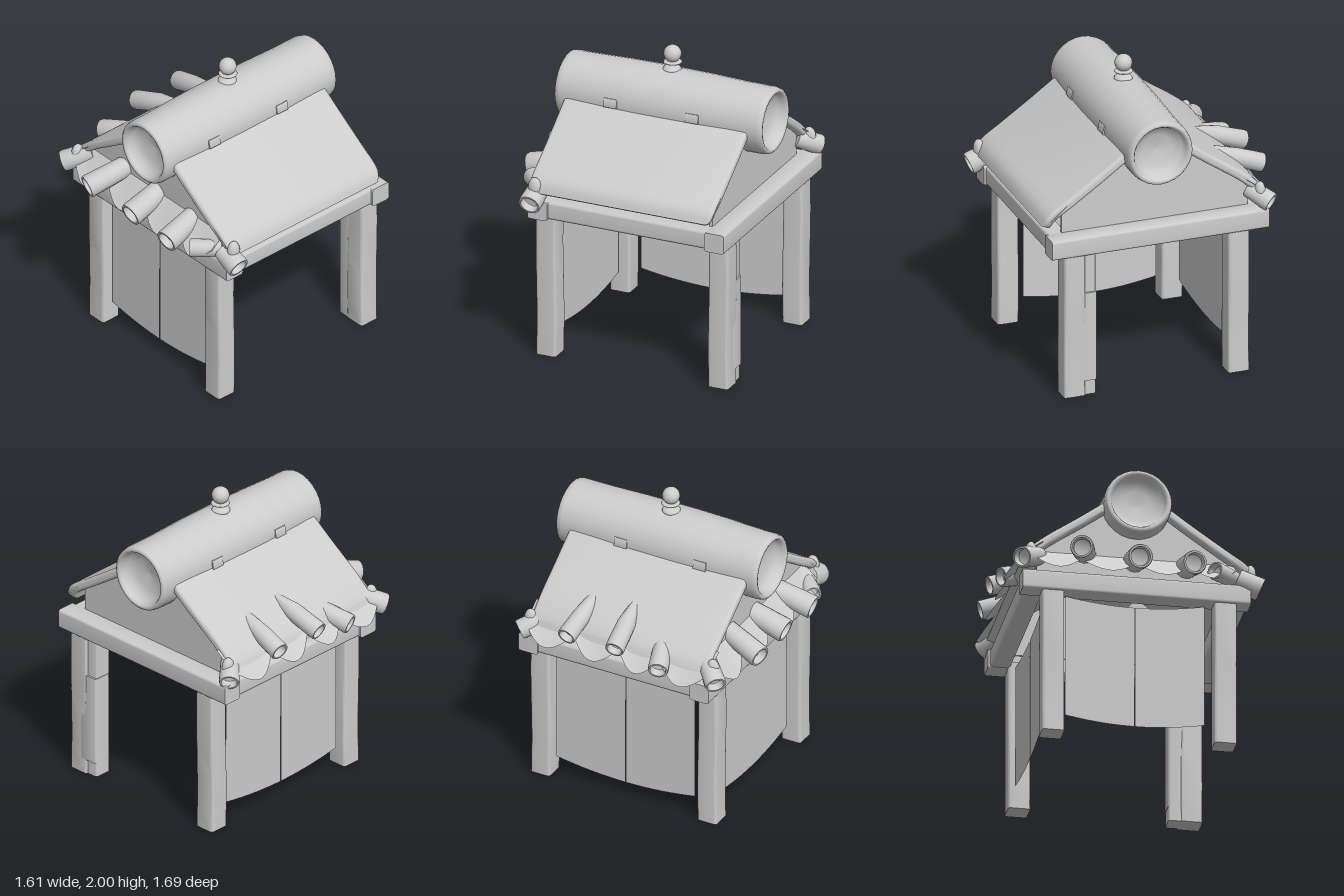
import * as THREE from 'three';
import { toCreasedNormals } from 'three/addons/utils/BufferGeometryUtils.js';

const stone = new THREE.MeshStandardMaterial({ color: 0xcccccc, side: THREE.DoubleSide });
stone.name = 'pale grey';

const V2 = (x, y) => new THREE.Vector2(x, y);
const V3 = (x, y, z) => new THREE.Vector3(x, y, z);

export function createModel() {
  const model = new THREE.Group();
  model.name = 'woodenShelter';

  const add = (name, geo, x = 0, y = 0, z = 0) => {
    const m = new THREE.Mesh(geo, stone);
    m.name = name;
    m.position.set(x, y, z);
    model.add(m);
    return m;
  };

  // Softened square bar running along +z, with an optional gentle sway
  function bar(w, h, length, sway = 0) {
    const s = new THREE.Shape(), a = w / 2, b = h / 2, r = Math.min(w, h) * 0.14;
    s.moveTo(-a + r, -b);
    s.lineTo(a - r, -b); s.quadraticCurveTo(a, -b, a, -b + r);
    s.lineTo(a, b - r); s.quadraticCurveTo(a, b, a - r, b);
    s.lineTo(-a + r, b); s.quadraticCurveTo(-a, b, -a, b - r);
    s.lineTo(-a, -b + r); s.quadraticCurveTo(-a, -b, -a + r, -b);
    const g = new THREE.ExtrudeGeometry(s, { depth: length, steps: 8, bevelEnabled: false, curveSegments: 4 });
    const p = g.attributes.position;
    for (let i = 0; i < p.count; i++) {
      const k = Math.sin((p.getZ(i) / length) * Math.PI * 2);
      p.setXY(i, p.getX(i) + sway * k, p.getY(i) * (1 + sway * k));
    }
    return toCreasedNormals(g, 0.9);
  }
  const upright = (...args) => bar(...args).rotateX(-Math.PI / 2);

  // Posts, with a doubled brace beside the front right one
  for (const x of [-0.51, 0.695]) for (const z of [-0.53, 0.58]) {
    add('cornerPost', upright(0.138, 0.142, 1.02, x < 0 ? 0.004 : -0.004), x, 0, z);
  }
  add('bracePost', upright(0.12, 0.135, 1.02), 0.69, 0, 0.5);
  add('braceSleeve', upright(0.13, 0.14, 0.61), 0.697, 0.1, 0.5);

  // Beams
  for (const x of [-0.525, 0.71]) add('sideBeam', bar(0.138, 0.13, 1.47), x, 1.04, -0.73);
  for (const z of [-0.65, 0.66]) add('crossBeam', bar(0.13, 0.12, 1.2).rotateY(Math.PI / 2), -0.5, 1.043, z);

  // Hanging cloths, each sewn from two sagging halves
  function clothHalf(width, side) {
    const g = new THREE.PlaneGeometry(width / 2 - 0.002, 0.83, 12, 6).translate((side * width) / 4 + side * 0.001, 0, 0);
    const p = g.attributes.position;
    for (let i = 0; i < p.count; i++) {
      const u = (2 * p.getX(i)) / width;
      p.setY(i, p.getY(i) - 0.045 * (1 - u * u));
    }
    return g;
  }
  for (const side of [-1, 1]) {
    add('backCloth', clothHalf(1.0, side).rotateY(Math.PI), 0.095, 0.555, -0.56);
    add('leftCloth', clothHalf(0.9, side).rotateY(-Math.PI / 2), -0.51, 0.555, 0.005);
  }

  // Roof slopes: a curved slab section drawn in z and y, extruded along x
  function slope(side, reach) {
    const mid = new THREE.SplineCurve([V2(0.2, 1.583), V2(0.36, 1.468), V2(0.56, 1.33),
      V2(reach - 0.065, 1.238), V2(reach - 0.029, 1.176)]);
    const pts = mid.getPoints(16), upper = [], lower = [];
    pts.forEach((p, i) => {
      const t = mid.getTangent(i / 16), n = V2(-t.y, t.x).multiplyScalar(0.009);
      upper.push(V2(side * (p.x + n.x), p.y + n.y));
      lower.push(V2(side * (p.x - n.x), p.y - n.y));
    });
    const g = new THREE.ExtrudeGeometry(new THREE.Shape([...upper, ...lower.reverse()]), {
      depth: 1.23, steps: 1, bevelThickness: 0.026, bevelSize: 0.022, bevelSegments: 5 });
    g.rotateY(-Math.PI / 2).translate(0.615, 0, 0);
    // Round the lower corners
    const p = g.attributes.position;
    for (let i = 0; i < p.count; i++) {
      const k = Math.max(0, (1.28 - p.getY(i)) / 0.14);
      p.setX(i, p.getX(i) * (1 - 0.08 * k * k * k) + 0.06);
    }
    return toCreasedNormals(g, 0.8);
  }
  add('frontRoof', slope(1, 0.76));
  add('backRoof', slope(-1, 0.73));

  // Gable walls
  const gable = new THREE.Shape([V2(-0.63, 1.07), V2(0.63, 1.07), V2(0.63, 1.27), V2(0.4, 1.43),
    V2(0.19, 1.58), V2(-0.19, 1.58), V2(-0.4, 1.43), V2(-0.63, 1.27)]);
  for (const x of [-0.51, 0.65]) {
    add('gableWall', new THREE.ExtrudeGeometry(gable, { depth: 0.02, bevelEnabled: false }).rotateY(-Math.PI / 2), x, 0, 0);
  }

  // Hollow-ended ridge log, a little fuller in the middle
  const ridge = new THREE.LatheGeometry([V2(0, 0.1), V2(0.1, 0.09), V2(0.16, 0.06), V2(0.176, 0.02), V2(0.186, 0.004),
    V2(0.2, 0), V2(0.212, 0.01), V2(0.218, 0.04), V2(0.217, 0.12), V2(0.226, 0.4), V2(0.229, 0.6), V2(0.227, 0.95),
    V2(0.22, 1.2), V2(0.219, 1.41), V2(0.212, 1.442), V2(0.2, 1.452), V2(0.186, 1.448), V2(0.176, 1.43),
    V2(0.16, 1.39), V2(0.1, 1.36), V2(0, 1.35)], 28);
  add('ridgeLog', ridge.rotateZ(-Math.PI / 2), -0.652, 1.612, 0.008);

  // Small saddles where the log rests on each slope
  for (const x of [-0.25, 0.32]) for (const s of [-1, 1]) {
    const m = add('ridgeSaddle', bar(0.018, 0.06, 0.09).rotateY(Math.PI / 2), x - 0.045, 1.63, 0.008 + s * 0.223);
    m.rotation.x = -s * 0.2;
  }

  // Finial: domed foot, floating disc and ball
  add('finialFoot', new THREE.SphereGeometry(0.06, 20, 10).scale(1, 0.45, 1), 0.07, 1.835, -0.005);
  add('finialDisc', new THREE.SphereGeometry(0.061, 24, 10).scale(1, 0.18, 1), 0.075, 1.886, -0.005);
  add('finialBall', new THREE.SphereGeometry(0.057, 24, 16), 0.073, 1.943, -0.005);

  // Hollow roof tubes, from an inner end to an open outer end
  function tube(from, to, r, inner = 0.9) {
    const dir = to.clone().sub(from), L = dir.length();
    const g = new THREE.LatheGeometry([V2(0, 0), V2(r * inner, 0), V2(r * 0.96, L * 0.5), V2(r, L - 0.015),
      V2(r * 0.95, L), V2(r * 0.78, L), V2(r * 0.72, L - 0.05), V2(0, L - 0.07)], 16);
    const m = add('roofTube', toCreasedNormals(g, 0.9), from.x, from.y, from.z);
    m.quaternion.setFromUnitVectors(V3(0, 1, 0), dir.normalize());
  }
  tube(V3(-0.2, 1.25, -0.6), V3(-0.275, 1.18, -0.815), 0.066);
  tube(V3(0.075, 1.41, -0.43), V3(0.03, 1.255, -0.835), 0.063, 0.3);
  tube(V3(0.355, 1.36, -0.5), V3(0.38, 1.245, -0.83), 0.063, 0.7);
  tube(V3(-0.55, 1.16, 0.66), V3(-0.55, 1.1, 0.81), 0.075);
  tube(V3(-0.54, 1.16, 0.64), V3(-0.68, 1.15, 0.49), 0.06);
  tube(V3(-0.52, 1.23, -0.62), V3(-0.66, 1.15, -0.75), 0.07);
  tube(V3(0.64, 1.21, -0.64), V3(0.76, 1.14, -0.75), 0.066);
  tube(V3(-0.5, 1.28, -0.31), V3(-0.78, 1.2, -0.385), 0.075);
  tube(V3(-0.5, 1.25, 0), V3(-0.755, 1.175, 0), 0.08);
  tube(V3(-0.5, 1.23, 0.33), V3(-0.76, 1.16, 0.35), 0.078);

  // Scalloped eaves sagging outwards between neighbouring tubes
  function scallop(a, b, out, rise) {
    const pos = [], idx = [], N = 12, M = 4;
    for (let i = 0; i <= N; i++) for (let j = 0; j <= M; j++) {
      const u = i / N, v = j / M, sag = Math.sin(Math.PI * u);
      const p = a.clone().lerp(b, u).addScaledVector(out, v * (0.65 + 0.35 * sag));
      pos.push(p.x, p.y + rise * (1 - v) - 0.09 * sag * v, p.z);
    }
    for (let i = 0; i < N; i++) for (let j = 0; j < M; j++) {
      const k = i * (M + 1) + j, l = k + M + 1;
      idx.push(k, l, k + 1, l, l + 1, k + 1);
    }
    const g = new THREE.BufferGeometry();
    g.setAttribute('position', new THREE.Float32BufferAttribute(pos, 3));
    g.setIndex(idx);
    g.computeVertexNormals();
    add('scallopedEave', g);
  }
  const backStops = [-0.6, -0.25, 0.045, 0.37, 0.72], sideStops = [-0.67, -0.36, 0, 0.34, 0.64];
  for (let i = 0; i < 4; i++) {
    scallop(V3(backStops[i], 1.2, -0.6), V3(backStops[i + 1], 1.2, -0.6), V3(0, 0, -0.22), 0.1);
    scallop(V3(-0.51, 1.18, sideStops[i]), V3(-0.51, 1.18, sideStops[i + 1]), V3(-0.18, 0, 0), 0.1);
  }

  // Upright knots over the corner tubes
  for (const [x, y, z] of [[-0.54, 1.2, 0.745], [-0.6, 1.22, -0.68], [0.71, 1.21, -0.69]]) {
    add('cornerKnot', new THREE.SphereGeometry(0.045, 12, 8).scale(1, 1.5, 0.8), x, y, z);
  }
  return model;
}
